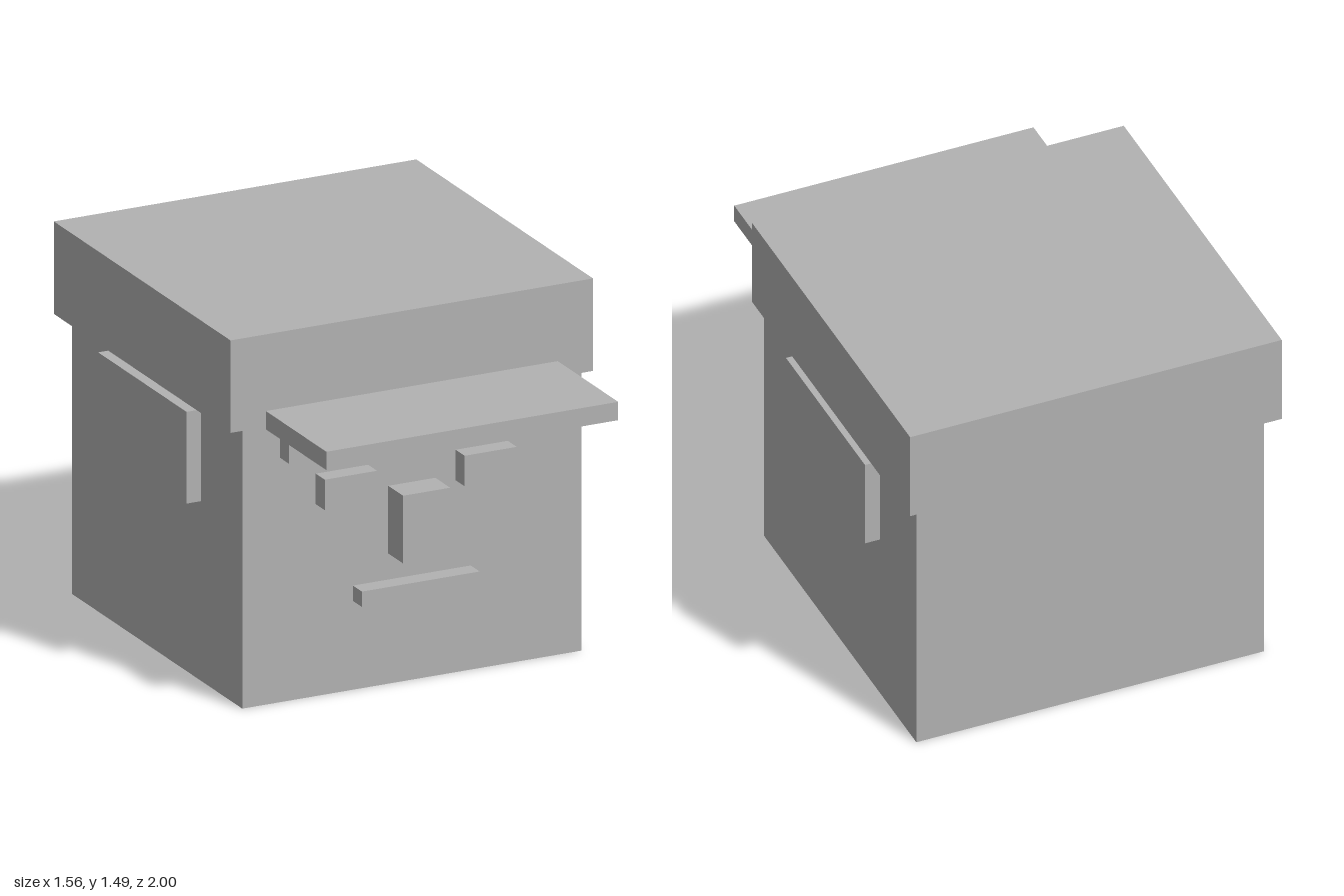
import * as THREE from 'three';

export function createModel() {
  const model = new THREE.Group();
  const grey = new THREE.MeshStandardMaterial({ color: 0xb2b2b2 });
  grey.name = 'grey';

  // Adds a box spanning the given [min, max] ranges
  function block(name, [x0, x1], [y0, y1], [z0, z1]) {
    const mesh = new THREE.Mesh(new THREE.BoxGeometry(x1 - x0, y1 - y0, z1 - z0), grey);
    mesh.name = name;
    mesh.position.set((x0 + x1) / 2, (y0 + y1) / 2, (z0 + z1) / 2);
    model.add(mesh);
  }

  const face = 0.49; // front plane shared by head and cap

  // Head and cap
  block('head', [-0.72, 0.72], [0, 1.12], [-0.945, face]);
  block('cap', [-0.77, 0.77], [1.12, 1.493], [-1, face]);
  block('capBrim', [-0.62, 0.62], [1.11, 1.184], [face, 1]);

  // Centred facial features
  block('brow', [-0.56, 0.56], [0.986, 1.081], [face, 0.566]);
  block('nose', [-0.1, 0.1], [0.525, 0.798], [face, 0.615]);
  block('mouth', [-0.25, 0.25], [0.358, 0.42], [face, 0.566]);

  // Mirrored eyes and ears
  for (const [side, s] of [['left', 1], ['right', -1]]) {
    const span = (a, b) => (s > 0 ? [a, b] : [-b, -a]);
    block(side + 'Eye', span(0.186, 0.408), [0.774, 0.897], [face, 0.566]);
    block(side + 'Ear', span(0.72, 0.782), [0.725, 1.095], [-0.602, 0.143]);
  }

  return model;
}
